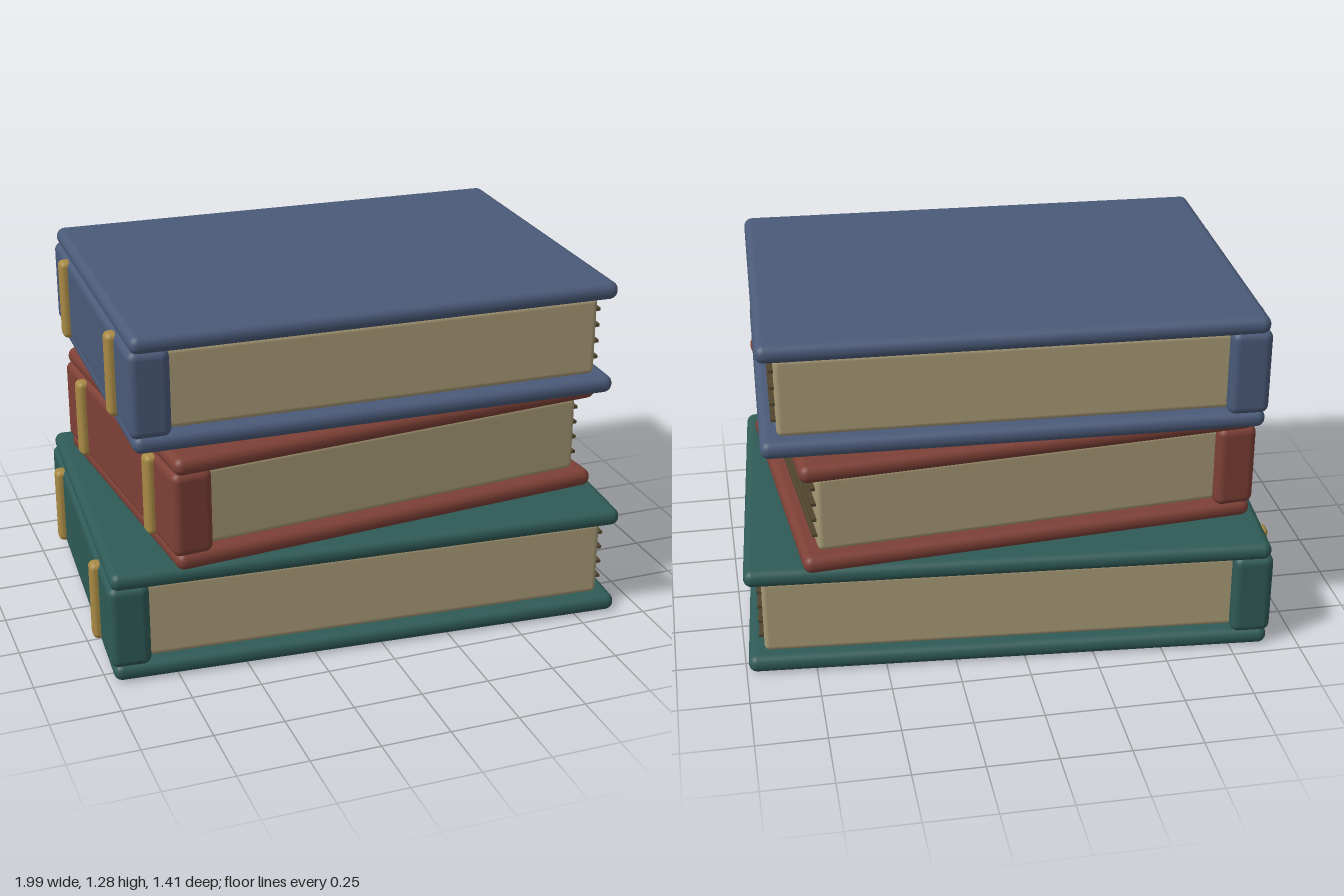
import * as THREE from 'three';
import { RoundedBoxGeometry } from 'three/addons/geometries/RoundedBoxGeometry.js';

const mat = (color) => new THREE.MeshStandardMaterial({ color });

const THICK = 0.418; // whole book
const COVER = 0.065; // one cover board
const PITCH = 0.4325; // distance between stacked books
const EDGE = 0.059; // covers overhang the fore edge
const LIP = 0.045; // covers overhang head and tail

const pageMat = mat(0xa89a76);
const lineMat = mat(0x51462f);
const bandMat = mat(0xa98a45);

// Rounded block spanning x0..x1 and y0..y1, centred on z
function block(name, material, x0, x1, y0, y1, depth, radius, z = 0) {
  const geo = new RoundedBoxGeometry(x1 - x0, y1 - y0, depth, 4, radius);
  const mesh = new THREE.Mesh(geo, material);
  mesh.name = name;
  mesh.position.set((x0 + x1) / 2, (y0 + y1) / 2, z);
  return mesh;
}

// Closed book lying flat, spine towards -x
function makeBook({ name, color, length, depth }) {
  const book = new THREE.Group();
  book.name = name;
  const cloth = mat(color);
  const h = length / 2;
  const top = THICK - COVER;

  // Cover boards
  book.add(block('lowerCover', cloth, -h, h, 0, COVER, depth, 0.031));
  book.add(block('upperCover', cloth, -h, h, top, THICK, depth, 0.031));

  // Spine and its raised bands
  book.add(block('spine', cloth, -h - 0.01, -h + 0.135, 0.053, THICK - 0.053, depth - 0.004, 0.03));
  for (const side of [-1, 1]) {
    book.add(block('spineBand', bandMat, -h - 0.037, -h + 0.013, 0.061, THICK - 0.058, 0.062, 0.02, side * depth * 0.31));
  }

  // Page block
  const pageEnd = h - EDGE;
  const pageDepth = depth - 2 * LIP;
  book.add(block('pages', pageMat, -h + 0.06, pageEnd, COVER, top, pageDepth, 0.02));

  // Dark lines across the fore edge
  for (let i = 0; i < 4; i++) {
    const line = new THREE.Mesh(new THREE.BoxGeometry(0.03, 0.011, pageDepth - 0.032), lineMat);
    line.name = 'pageLine';
    line.position.set(pageEnd + 0.002, THICK / 2 + 0.005 + (i - 1.5) * 0.06, 0);
    book.add(line);
  }
  return book;
}

export function createModel() {
  const stack = new THREE.Group();
  stack.name = 'bookStack';
  const books = [
    { name: 'bottomBook', color: 0x2f5a56, length: 1.885, depth: 1.288, x: 0.008, turn: -0.07 },
    { name: 'middleBook', color: 0x7d4036, length: 1.645, depth: 1.17, x: 0.012, turn: 0.087 },
    { name: 'topBook', color: 0x4a5a78, length: 1.75, depth: 1.262, x: 0.012, turn: -0.03 },
  ];
  books.forEach((spec, i) => {
    const book = makeBook(spec);
    book.position.set(spec.x, i * PITCH, 0);
    book.rotation.y = spec.turn;
    stack.add(book);
  });
  return stack;
}
